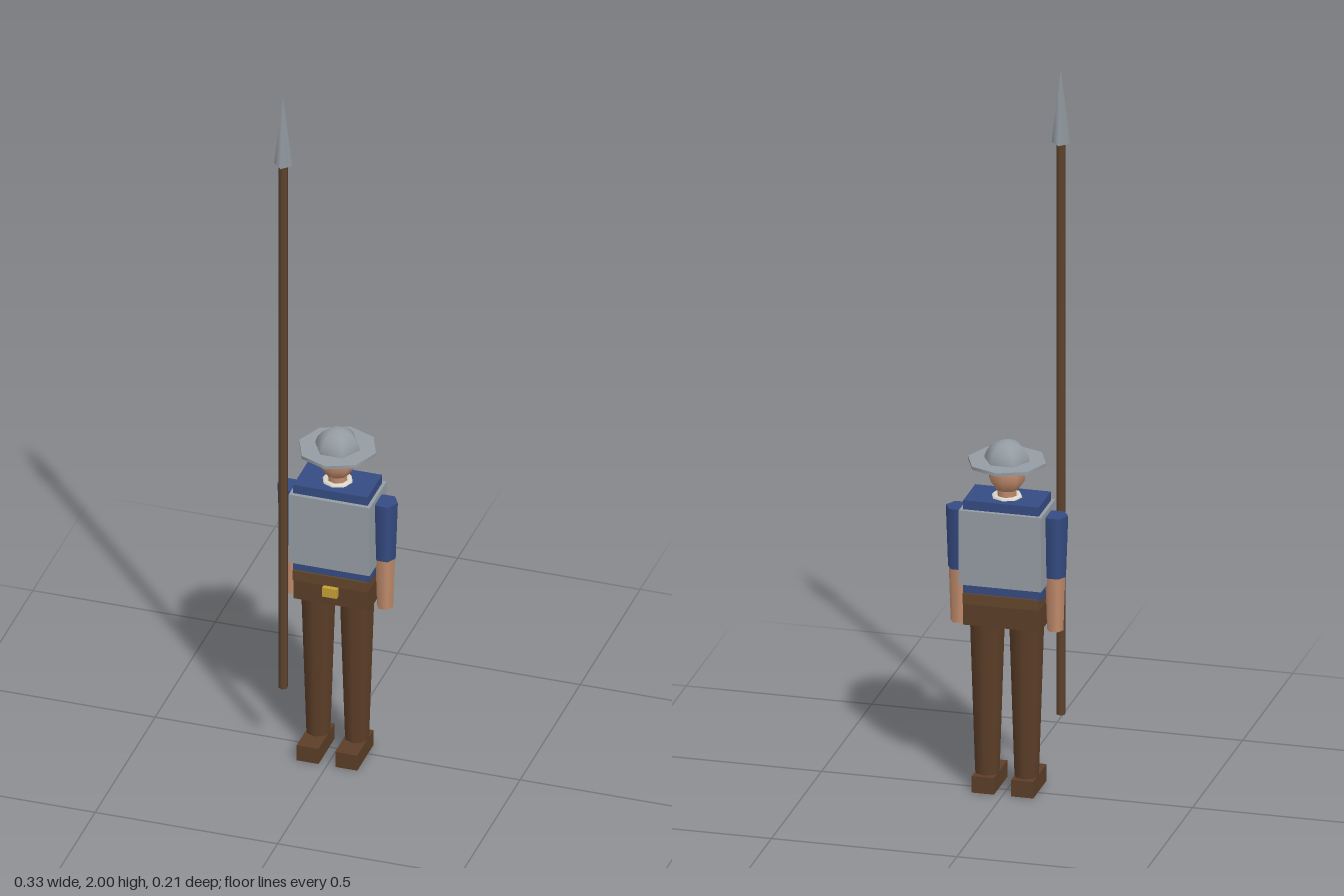
import * as THREE from 'three';

const material = (name, color) => {
  const m = new THREE.MeshStandardMaterial({ color });
  m.name = name;
  return m;
};

export function createModel() {
  const root = new THREE.Group();
  root.name = 'spearman';
  const steel = material('steel', 0x949ca3);
  const blue = material('blue cloth', 0x354b82);
  const skin = material('skin', 0xc18c6c);
  const brown = material('brown cloth', 0x5c3e28);
  const belt = material('belt leather', 0x64452a);
  const wood = material('wood', 0x5e432d);
  const gold = material('brass', 0xc2a035);
  const linen = material('linen', 0xe2ddd2);

  const add = (name, geometry, mat, x, y, z) => {
    const mesh = new THREE.Mesh(geometry, mat);
    mesh.name = name;
    mesh.position.set(x, y, z);
    root.add(mesh);
    return mesh;
  };
  // Box given by its width, depth, bottom and top
  const box = (name, mat, w, d, y0, y1, x = 0, z = 0) =>
    add(name, new THREE.BoxGeometry(w, y1 - y0, d), mat, x, (y0 + y1) / 2, z);
  // Tapered round part between two heights
  const limb = (name, mat, r0, r1, y0, y1, sides, x = 0, z = 0) =>
    add(name, new THREE.CylinderGeometry(r1, r0, y1 - y0, sides), mat, x, (y0 + y1) / 2, z);

  // Torso, cuirass and belt
  box('torso', blue, 0.204, 0.12, 0.55, 0.82);
  box('cuirass', steel, 0.222, 0.142, 0.588, 0.795);
  box('belt', belt, 0.204, 0.13, 0.533, 0.562);
  box('hips', brown, 0.208, 0.106, 0.47, 0.535);
  box('buckle', gold, 0.04, 0.018, 0.5, 0.527, 0, 0.06);

  // Legs, shoes and arms, mirrored
  for (const [side, s] of [['left', 1], ['right', -1]]) {
    limb(side + 'Leg', brown, 0.033, 0.048, 0.045, 0.5, 8, s * 0.053);
    box(side + 'Shoe', brown, 0.06, 0.134, 0, 0.046, s * 0.053, 0.022);
    limb(side + 'Sleeve', blue, 0.029, 0.035, 0.61, 0.78, 6, s * 0.13).rotation.y = Math.PI / 6;
    limb(side + 'Forearm', skin, 0.022, 0.027, 0.46, 0.612, 6, s * 0.13).rotation.y = Math.PI / 6;
  }

  // Neck, collar and head
  limb('neck', skin, 0.026, 0.026, 0.81, 0.85, 8);
  const collar = add('collar', new THREE.TorusGeometry(0.032, 0.013, 5, 8), linen, 0, 0.815, 0);
  collar.rotation.x = Math.PI / 2;
  add('head', new THREE.SphereGeometry(0.051, 8, 5), skin, 0, 0.886, 0).scale.y = 1.08;

  // Wide-brimmed helmet
  limb('helmetBrim', steel, 0.105, 0.105, 0.913, 0.922, 8);
  add('helmetDome',
    new THREE.SphereGeometry(0.062, 6, 6, 0, Math.PI * 2, 0, Math.PI / 2), steel, 0, 0.914, 0);

  // Spear
  limb('spearShaft', wood, 0.012, 0.012, 0.2, 1.8, 6, -0.128, 0.064);
  add('spearHead', new THREE.ConeGeometry(0.025, 0.205, 4), steel, -0.128, 1.8975, 0.064);

  return root;
}
